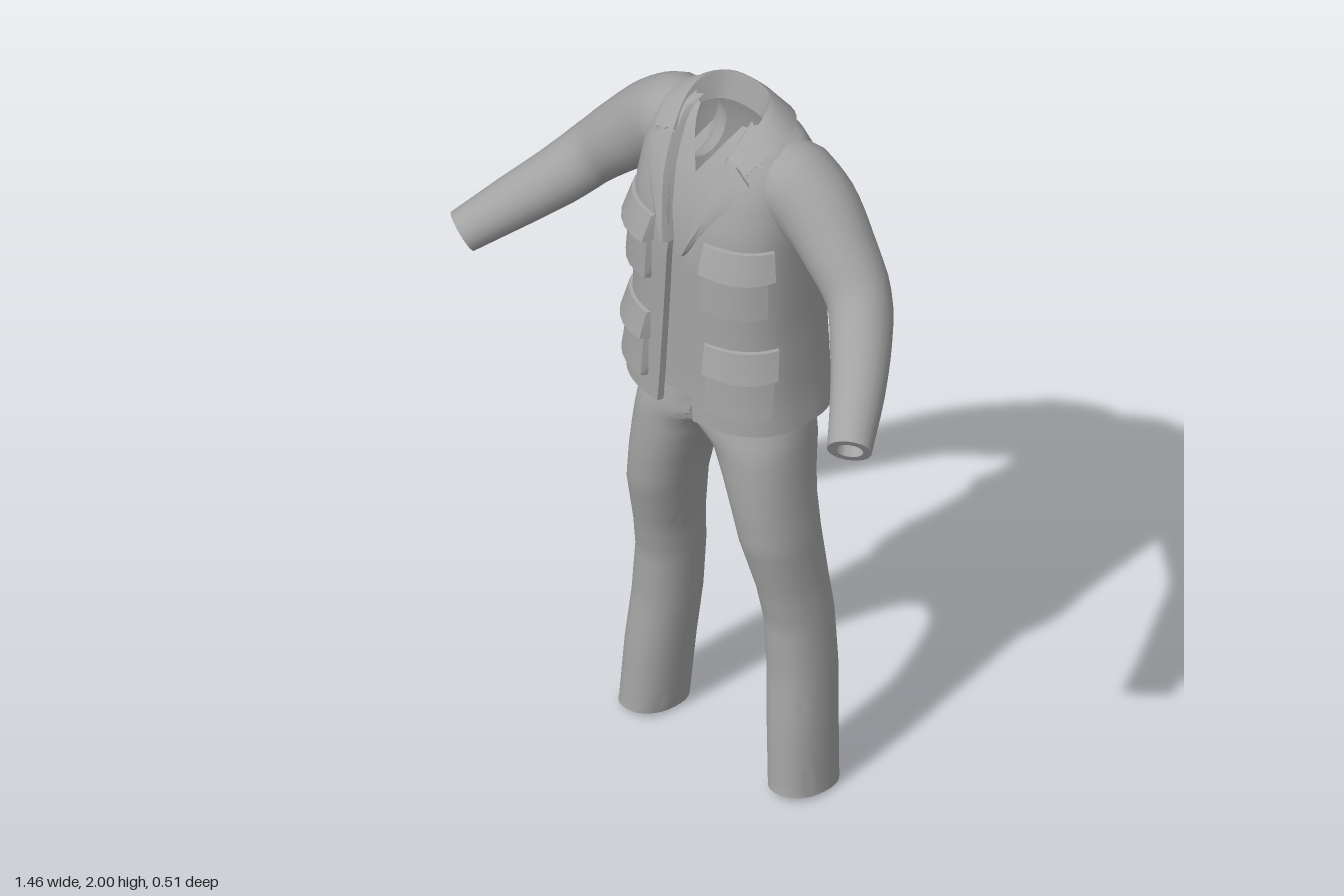
import * as THREE from 'three';
import { toCreasedNormals } from 'three/addons/utils/BufferGeometryUtils.js';

const cloth = new THREE.MeshStandardMaterial({ color: 0xa3a3a3, side: THREE.DoubleSide });
cloth.name = 'grey cloth';

const V = (x, y, z) => new THREE.Vector3(x, y, z);
const lerp = THREE.MathUtils.lerp;

// Linear lookup in a table of rows whose first entry is the key
function lookup(table, k) {
  let i = 0;
  while (i < table.length - 2 && k > table[i + 1][0]) i++;
  const a = table[i], b = table[i + 1];
  const t = THREE.MathUtils.clamp((k - a[0]) / (b[0] - a[0]), 0, 1);
  return a.slice(1).map((v, j) => lerp(v, b[j + 1], t));
}

// Skin a mesh over rows of points
function skin(name, rows, closed = false, crease = 0.9) {
  const n = rows[0].length, index = [];
  for (let i = 0; i < rows.length - 1; i++) {
    for (let j = 0; j < (closed ? n : n - 1); j++) {
      const k = (j + 1) % n, a = i * n + j, b = i * n + k;
      index.push(a, b, b + n, a, b + n, a + n);
    }
  }
  let geo = new THREE.BufferGeometry().setFromPoints(rows.flat());
  geo.setIndex(index);
  geo = toCreasedNormals(geo, crease);
  const mesh = new THREE.Mesh(geo, cloth);
  mesh.name = name;
  return mesh;
}

// Torso section by height: half width, back z, front z
const TORSO = [
  [1.115, 0.275, -0.25, 0.148], [1.2, 0.264, -0.25, 0.145], [1.4, 0.252, -0.245, 0.143],
  [1.6, 0.25, -0.242, 0.143], [1.7, 0.25, -0.238, 0.13], [1.8, 0.243, -0.222, 0.098],
  [1.87, 0.23, -0.2, 0.06], [1.91, 0.205, -0.183, 0.035], [1.94, 0.155, -0.168, 0.01],
  [1.955, 0.115, -0.14, -0.01],
];
const POW = 2.6;
const spow = (v) => Math.sign(v) * Math.abs(v) ** (2 / POW);

// Point on the torso: angle 0 is the front middle, off pushes outward
function torsoPoint(a, y, off = 0) {
  const [rx, zb, zf] = lookup(TORSO, y);
  return V((rx + off) * spow(Math.sin(a)), y, (zb + zf) / 2 + ((zf - zb) / 2 + off) * spow(Math.cos(a)));
}
function angleAt(x, y) {
  const r = Math.min(1, Math.abs(x) / lookup(TORSO, y)[0]);
  return Math.sign(x) * Math.asin(r ** (POW / 2));
}

// Wrapped shell, open in front by gap(y)
function shell(name, heights, off, gap, fold) {
  const N = 56;
  return skin(name, heights.map(([y, dy]) => {
    const a0 = angleAt(gap(y), y), row = [];
    for (let j = 0; j <= N; j++) row.push(torsoPoint(lerp(a0, 2 * Math.PI - a0, j / N), y, off + (dy || 0)));
    if (fold) {
      row.unshift(torsoPoint(a0, y, off - fold));
      row.push(torsoPoint(-a0, y, off - fold));
    }
    return row;
  }));
}

function steps(a, b, n) {
  return Array.from({ length: n + 1 }, (_, i) => [lerp(a, b, i / n)]);
}

// Patch on the chest: raised plate between two x positions and two heights
function patch(name, s, x0, x1, yTop, yLow, dTop, dLow, sag) {
  const us = [0, 0.02, 0.2, 0.4, 0.6, 0.8, 0.98, 1], vs = [0, 0.04, 0.35, 0.7, 0.96, 1];
  return skin(name, vs.map((v) => us.map((u) => {
    const y = lerp(yTop, yLow, v) - sag * v * Math.sin(Math.PI * u);
    const a = lerp(angleAt(x0, y), angleAt(x1, y), u);
    const rim = u === 0 || u === 1 || v === 0 || v === 1;
    return torsoPoint(s * a, y, rim ? -0.004 : lerp(dTop, dLow, v));
  })), false, 0.6);
}

// Sleeve along a bent path, with a turned-in cuff
const ARM = [[0.12, 1.83, -0.07], [0.2, 1.813, -0.075], [0.28, 1.765, -0.08], [0.37, 1.685, -0.068],
  [0.46, 1.595, -0.045], [0.53, 1.515, 0.02], [0.605, 1.44, 0.11], [0.68, 1.365, 0.215]];
const ARM_R = [0.085, 0.113, 0.108, 0.096, 0.084, 0.078, 0.069, 0.057].map((r, i) => [i / 7, r]);
function sleeve(s) {
  const curve = new THREE.CatmullRomCurve3(ARM.map(([x, y, z]) => V(s * x, y, z)));
  const ring = (t, r, back = 0) => {
    const c = curve.getPoint(t), T = curve.getTangent(t);
    const side = T.clone().cross(V(0, 1, 0)).normalize(), up = side.clone().cross(T);
    c.addScaledVector(T, -back);
    return Array.from({ length: 20 }, (_, i) => {
      const a = (i / 20) * 2 * Math.PI;
      return c.clone().addScaledVector(side, r * Math.cos(a)).addScaledVector(up, r * Math.sin(a));
    });
  };
  const rows = steps(0, 1, 28).map(([t]) => ring(t, lookup(ARM_R, t)[0]));
  const g = new THREE.Group();
  g.name = s > 0 ? 'leftSleeve' : 'rightSleeve';
  g.add(skin('sleeve', rows, true));
  g.add(skin('cuffRim', [ring(1, 0.057), ring(1, 0.036), ring(1, 0.034, 0.06)], true, 0.6));
  return g;
}

// Trouser leg rows: y, inner x, outer x, back z, front z (inner side is cut at the middle)
const LEG = [
  [0, 0.19, 0.336, -0.147, 0.052], [0.2, 0.172, 0.327, -0.155, 0.04], [0.35, 0.158, 0.316, -0.165, 0.026],
  [0.5, 0.148, 0.302, -0.165, 0.026], [0.6, 0.14, 0.292, -0.155, 0.045], [0.75, 0.11, 0.284, -0.142, 0.083],
  [0.85, 0.083, 0.272, -0.144, 0.091], [0.93, 0.052, 0.264, -0.155, 0.093], [1.0, 0.015, 0.258, -0.172, 0.093],
  [1.035, -0.03, 0.256, -0.182, 0.093], [1.08, -0.16, 0.252, -0.195, 0.091], [1.13, -0.245, 0.245, -0.205, 0.088],
  [1.25, -0.235, 0.235, -0.205, 0.085],
];
function leg(s) {
  const rows = steps(0, 1.25, 50).map(([y]) => {
    const [xi, xo, zb, zf] = lookup(LEG, y);
    return Array.from({ length: 32 }, (_, i) => {
      const a = (i / 32) * 2 * Math.PI, c = Math.cos(a), w = Math.sin(a);
      const p = (v) => Math.sign(v) * Math.abs(v) ** 0.9;
      const x = (xi + xo) / 2 + ((xo - xi) / 2) * p(c);
      const tilt = y === 0 ? 0.008 * (1 + w) : 0;
      return V(s * Math.max(0, x), y + tilt, (zb + zf) / 2 + ((zf - zb) / 2) * p(w));
    });
  });
  return skin(s > 0 ? 'leftTrouserLeg' : 'rightTrouserLeg', rows, true);
}

// Collar stations from the back middle to the front: inside, fold, outer edge
const COLLAR = [
  [[0, 1.92, -0.115], [0, 2.0, -0.132], [0, 1.925, -0.19]],
  [[0.07, 1.92, -0.1], [0.075, 1.997, -0.117], [0.1, 1.928, -0.18]],
  [[0.095, 1.92, -0.06], [0.112, 1.982, -0.065], [0.176, 1.938, -0.095]],
  [[0.097, 1.91, -0.015], [0.116, 1.95, -0.012], [0.184, 1.922, -0.02]],
  [[0.082, 1.87, 0.035], [0.095, 1.89, 0.057], [0.16, 1.872, 0.055]],
];
function collar() {
  const curves = [0, 1, 2].map((k) => new THREE.CatmullRomCurve3([
    ...COLLAR.slice(1).reverse().map((r) => V(-r[k][0], r[k][1], r[k][2])),
    ...COLLAR.map((r) => V(...r[k])),
  ]));
  return skin('collar', steps(0, 1, 32).map(([t]) => {
    const [a, b, c] = curves.map((q) => q.getPoint(t));
    const roll = b.clone().lerp(c, 0.25).add(V(0, 0.006, 0));
    return [a, b, roll, c, c.clone().lerp(a, 0.12).add(V(0, -0.012, 0))];
  }));
}

// Lapel: fold x, fold y, outer x, outer y
const LAPEL = [[0.088, 1.885, 0.118, 1.88], [0.082, 1.845, 0.165, 1.845], [0.07, 1.79, 0.138, 1.79],
  [0.056, 1.73, 0.1, 1.73], [0.043, 1.67, 0.064, 1.67], [0.03, 1.62, 0.036, 1.615]];
function lapel(s) {
  const at = (x, y, off) => torsoPoint(s * angleAt(x, y), y, off);
  return skin(s > 0 ? 'leftLapel' : 'rightLapel', LAPEL.map(([fx, fy, ox, oy]) => [
    at(fx - 0.003, fy, -0.015), at(fx, fy, 0.014),
    at((fx + ox) / 2, (fy + oy) / 2, 0.02), at(ox, oy, 0.013), at(ox, oy, -0.004),
  ]), false, 0.7);
}

export function createModel() {
  const model = new THREE.Group();
  model.name = 'outfit';

  // Jacket body with turned-in hem and front edges
  const JACKET_GAP = [[1.115, 0.062], [1.62, 0.03], [1.74, 0.056], [1.85, 0.083], [1.91, 0.095], [1.955, 0.1]];
  const rise = [[1.14, -0.02], [1.116, -0.016], ...steps(1.115, 1.87, 24), ...steps(1.88, 1.955, 8)];
  model.add(shell('jacketBody', rise, 0, (y) => lookup(JACKET_GAP, y)[0], 0.018));

  // Shirt with open neck
  const SHIRT_GAP = [[1.16, 0], [1.815, 0], [1.955, 0.09]];
  model.add(shell('shirt', [...steps(1.165, 1.815, 16), ...steps(1.83, 1.945, 8)], -0.018,
    (y) => lookup(SHIRT_GAP, y)[0], 0));

  model.add(collar());

  // Paired parts
  for (const s of [1, -1]) {
    const side = s > 0 ? 'left' : 'right';
    model.add(sleeve(s), lapel(s), leg(s));
    model.add(patch(side + 'ChestPocket', s, 0.09, 0.232, 1.61, 1.475, 0.01, 0.018, 0.008));
    model.add(patch(side + 'ChestFlap', s, 0.083, 0.238, 1.67, 1.592, 0.008, 0.03, 0.008));
    model.add(patch(side + 'HipPocket', s, 0.1, 0.245, 1.31, 1.17, 0.01, 0.018, 0.006));
    model.add(patch(side + 'HipFlap', s, 0.093, 0.246, 1.37, 1.288, 0.008, 0.028, 0.008));
  }
  return model;
}
